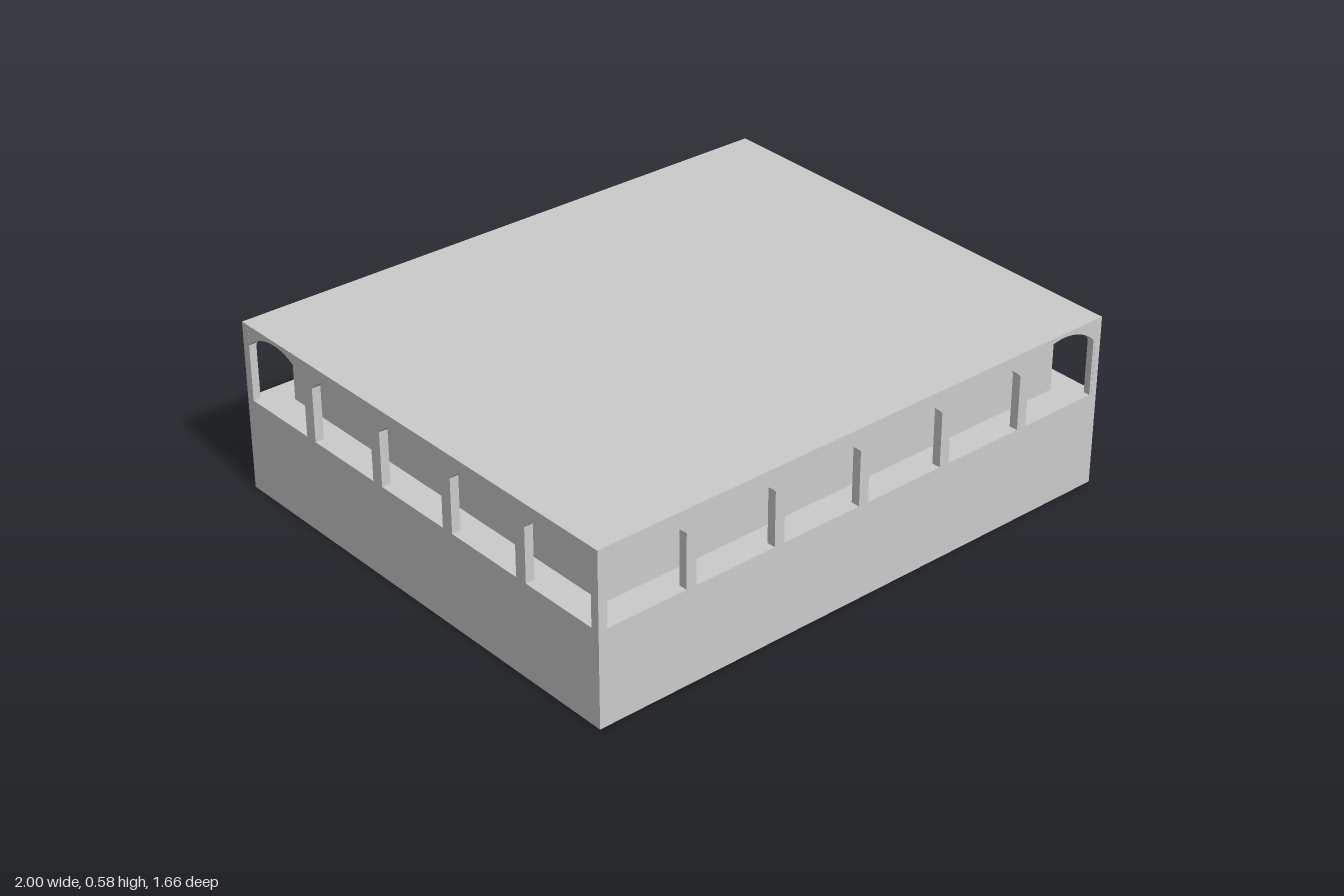
import * as THREE from 'three';

// Slightly skewed footprint, corners as [x, z]: front right, front left, back left, back right
const corners = [[0.965, 0.83], [-1, 0.83], [-1, -0.835], [1, -0.805]];
const sill = 0.32, spring = 0.503, crown = 0.567, ceiling = 0.57, top = 0.58;
const wallDepth = 0.03, archWidth = 0.29, margin = 0.022;

const material = new THREE.MeshStandardMaterial({ color: 0xcccccc, flatShading: true });

function addMesh(parent, geometry, name) {
  const mesh = new THREE.Mesh(geometry, material);
  mesh.name = name;
  parent.add(mesh);
  return mesh;
}

// Vertical prism over a plan outline
function prism(plan, y0, y1) {
  const shape = new THREE.Shape(plan.map(([x, z]) => new THREE.Vector2(x, -z)));
  const geometry = new THREE.ExtrudeGeometry(shape, { depth: y1 - y0, bevelEnabled: false });
  return geometry.rotateX(-Math.PI / 2).translate(0, y0, 0);
}

// Wall outline with a row of segmental arches open down to the sill
function arcadeGeometry(length, count) {
  const half = archWidth / 2, rise = crown - spring;
  const radius = (half * half + rise * rise) / (2 * rise);
  const spread = Math.asin(half / radius);
  const pitch = (length - 2 * margin - archWidth) / (count - 1);
  const shape = new THREE.Shape();
  shape.moveTo(0, sill);
  for (let i = 0; i < count; i++) {
    const start = margin + i * pitch;
    shape.lineTo(start, sill);
    shape.lineTo(start, spring);
    shape.absarc(start + half, crown - radius, radius, Math.PI / 2 + spread, Math.PI / 2 - spread, true);
    shape.lineTo(start + archWidth, sill);
  }
  shape.lineTo(length, sill);
  shape.lineTo(length, ceiling);
  shape.lineTo(0, ceiling);
  return new THREE.ExtrudeGeometry(shape, { depth: wallDepth, bevelEnabled: false, curveSegments: 12 });
}

export function createModel() {
  const model = new THREE.Group();
  model.name = 'arcadedBuilding';

  // Solid lower storey and thin flat roof
  addMesh(model, prism(corners, 0, sill), 'base');
  addMesh(model, prism(corners, ceiling, top), 'roof');

  // Closed inner block, leaving a walkway all round
  const core = new THREE.BoxGeometry(1.77, ceiling - sill, 1.46);
  addMesh(model, core, 'innerBlock').position.set(-0.015, (sill + ceiling) / 2, 0);

  // Arcades run from corner to corner, with their depth facing inward
  const names = ['frontArcade', 'rightArcade', 'backArcade', 'leftArcade'];
  corners.forEach(([x, z], i) => {
    const [nx, nz] = corners[(i + 1) % 4];
    const length = Math.hypot(nx - x, nz - z);
    const wall = addMesh(model, arcadeGeometry(length, i % 2 ? 5 : 6), names[i]);
    wall.position.set(x, 0, z);
    wall.rotation.y = Math.atan2(z - nz, nx - x);
  });

  return model;
}
